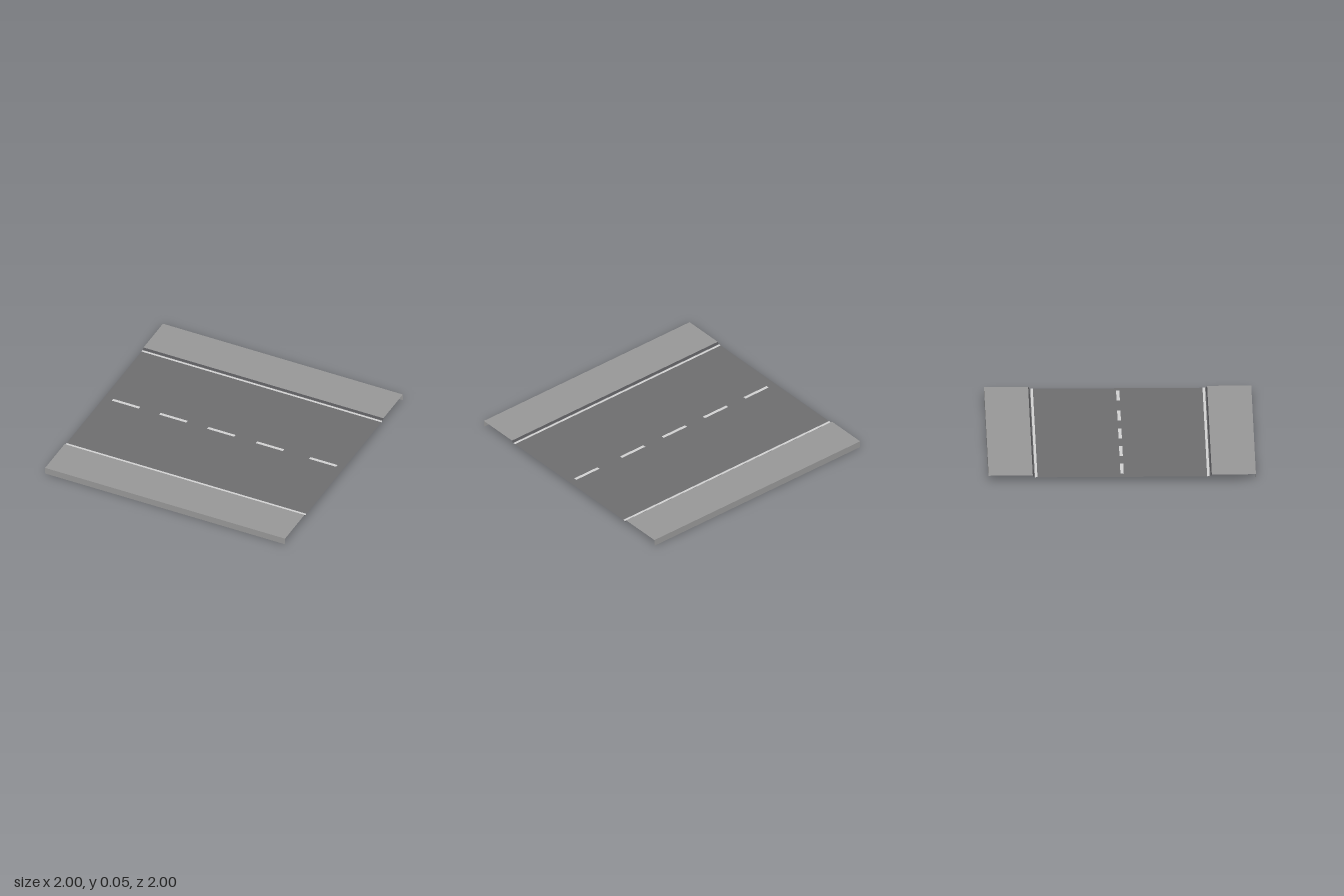
import * as THREE from 'three';

const paint = (name, color, side = THREE.DoubleSide) => {
  const m = new THREE.MeshStandardMaterial({ color, side });
  m.name = name;
  return m;
};

const TOP = 0.053;   // pavement height
const ROAD = 0.038;  // road height

// Flat sheet between x0 and x1, spanning two [z, y] profile points
function strip(name, material, [za, ya], [zb, yb], x0 = -1, x1 = 1) {
  const g = new THREE.BufferGeometry();
  g.setAttribute('position', new THREE.Float32BufferAttribute(
    [x0, ya, za, x0, yb, zb, x1, yb, zb, x1, ya, za], 3));
  g.setIndex([0, 1, 2, 0, 2, 3]);
  g.computeVertexNormals();
  const mesh = new THREE.Mesh(g, material);
  mesh.name = name;
  return mesh;
}

export function createModel() {
  const group = new THREE.Group();
  group.name = 'roadTile';
  const concrete = paint('concrete grey', 0x979797);
  const asphalt = paint('asphalt grey', 0x6d6d6f);
  const kerbGrey = paint('kerb dark grey', 0x58585b);
  const white = paint('marking white', 0xd0d0d0, THREE.FrontSide);

  // Road surface
  group.add(strip('roadSurface', asphalt, [-0.66, ROAD], [0.66, ROAD]));

  // Pavement, outer wall, kerb and edge line; the far side is the near one turned round
  for (const side of ['front', 'back']) {
    const half = new THREE.Group();
    half.name = side + 'Side';
    half.add(
      strip('pavement', concrete, [0.67, TOP], [1, TOP]),
      strip('outerWall', concrete, [1, TOP], [1, 0]),
      strip('kerb', kerbGrey, [0.66, ROAD], [0.67, TOP]),
      strip('edgeLine', white, [0.635, ROAD + 0.001], [0.654, ROAD + 0.001]),
    );
    if (side === 'back') half.rotation.y = Math.PI;
    group.add(half);
  }

  // Dashed centre line
  for (const x of [-0.93, -0.535, -0.135, 0.27, 0.715]) {
    group.add(strip('centreDash', white, [-0.013, ROAD + 0.001], [0.012, ROAD + 0.001], x, x + 0.226));
  }
  return group;
}
